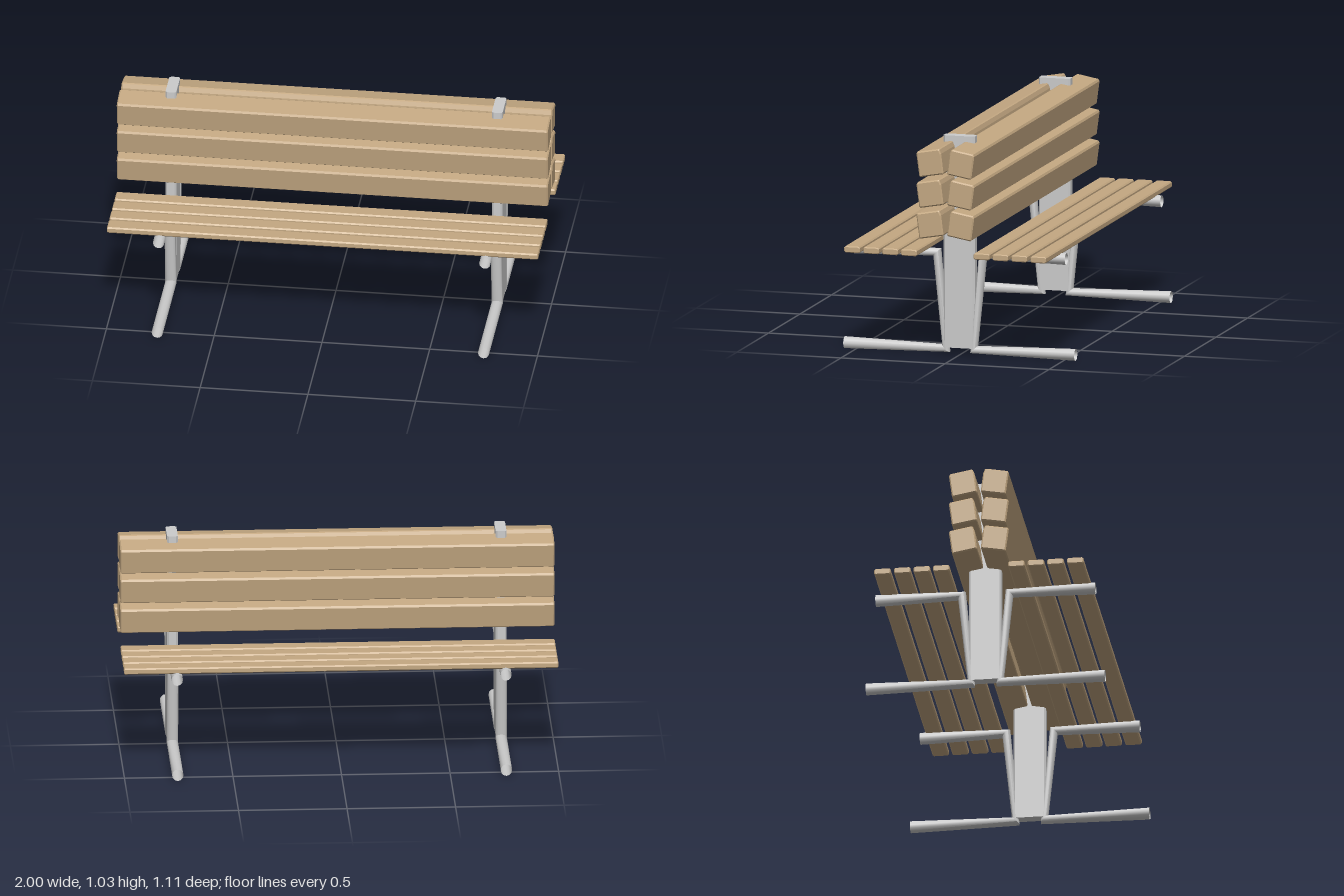
import * as THREE from 'three';
import { toCreasedNormals } from 'three/addons/utils/BufferGeometryUtils.js';

const wood = new THREE.MeshStandardMaterial({ color: 0xc4a882 });
const metal = new THREE.MeshStandardMaterial({ color: 0xcccccc });
const tubeMetal = new THREE.MeshStandardMaterial({ color: 0xcccccc, side: THREE.DoubleSide });

// Plank along x from a [z, y] cross-section, with bevelled ends
function plank(points, length, bevel) {
  const shape = new THREE.Shape(points.map(([z, y]) => new THREE.Vector2(z, y)));
  const geo = new THREE.ExtrudeGeometry(shape, {
    depth: length - 2 * bevel, bevelThickness: bevel, bevelSize: bevel,
    bevelOffset: -bevel, bevelSegments: 1,
  });
  geo.translate(0, 0, bevel - length / 2);
  geo.rotateY(-Math.PI / 2);
  return geo;
}

// Rectangle with cut corners
function cutRect(w, h, c) {
  const a = w / 2, b = h / 2;
  return [[-a + c, -b], [a - c, -b], [a, -b + c], [a, b - c],
    [a - c, b], [-a + c, b], [-a, b - c], [-a, -b + c]];
}

// Open tube through mitred rings: [z, y, half-diameter z, half-diameter y]
function mitredTube(rings, radius, sides) {
  const pos = [], index = [];
  rings.forEach(([z, y, vz, vy], r) => {
    for (let i = 0; i < sides; i++) {
      const t = (i / sides) * Math.PI * 2, c = Math.cos(t);
      pos.push(radius * Math.sin(t), y + vy * c, z + vz * c);
      if (r === rings.length - 1) continue;
      const a = r * sides + i, b = r * sides + (i + 1) % sides;
      index.push(a, b, a + sides, b, b + sides, a + sides);
    }
  });
  const geo = new THREE.BufferGeometry();
  geo.setAttribute('position', new THREE.Float32BufferAttribute(pos, 3));
  geo.setIndex(index);
  return toCreasedNormals(geo, 0.85);
}

export function createModel() {
  const model = new THREE.Group();
  model.name = 'doubleSidedBench';
  const add = (parent, geo, mat, name, x = 0, y = 0, z = 0) => {
    const mesh = new THREE.Mesh(geo, mat);
    mesh.name = name;
    mesh.position.set(x, y, z);
    parent.add(mesh);
    return mesh;
  };

  // Seat slats and tilted back beams on both sides
  const slat = plank(cutRect(0.076, 0.03, 0.006), 2, 0.004);
  const beamProfile = [[0.064, 0.039], [0.059, 0.049], [-0.04, 0.067], [-0.047, 0.064],
    [-0.055, 0.045], [-0.066, -0.043], [-0.063, -0.05], [0.044, -0.069], [0.05, -0.065]];
  for (const s of [1, -1]) {
    const side = s > 0 ? 'front' : 'back';
    for (const z of [0.1745, 0.265, 0.3555, 0.4475]) {
      add(model, slat, wood, side + 'SeatSlat', 0, 0.51, s * z);
    }
    const beam = plank(beamProfile.map(([z, y]) => [s * z, y]), 2, 0.006);
    for (const y of [0.936, 0.792, 0.648]) {
      add(model, beam, wood, side + 'BackBeam', 0, y, s * 0.075);
    }
  }

  // Upright post with chamfered vertical edges
  const postShape = new THREE.Shape(cutRect(0.05, 0.15, 0.008).map(([x, z]) => new THREE.Vector2(x, z)));
  const post = new THREE.ExtrudeGeometry(postShape, { depth: 0.993, bevelEnabled: false });
  post.rotateX(-Math.PI / 2);

  // One bent tube: seat support, leg and foot
  const tube = mitredTube([
    [0.51, 0.475, 0, 0.028],
    [0.11, 0.475, -0.018, 0.018],
    [0.067, 0.028, -0.018, -0.018],
    [0.555, 0.029, 0, -0.028],
  ], 0.0265, 12);

  for (const x of [-0.757, 0.757]) {
    const frame = new THREE.Group();
    frame.name = x > 0 ? 'leftFrame' : 'rightFrame';
    frame.position.x = x;
    add(frame, post, metal, 'post', 0, 0.035, 0);
    add(frame, tube, tubeMetal, 'frontBentTube');
    add(frame, tube, tubeMetal, 'backBentTube').rotation.y = Math.PI;
    model.add(frame);
  }
  return model;
}
